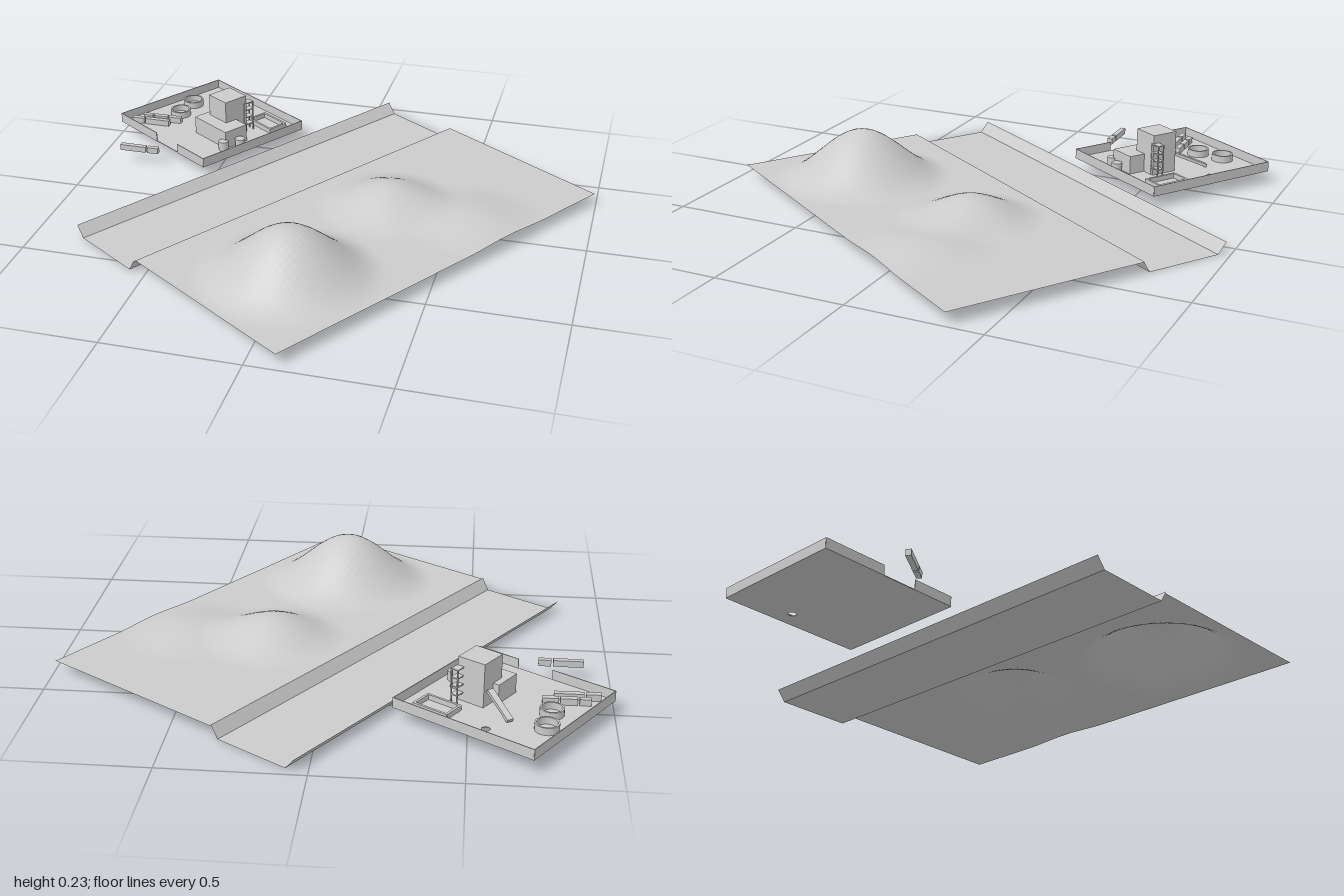
import * as THREE from 'three';

const grey = new THREE.MeshStandardMaterial({ color: 0xcccccc, flatShading: true, side: THREE.DoubleSide });
const ANGLE = -0.586; // the whole site is turned about y
const C = Math.cos(ANGLE), S = Math.sin(ANGLE);

// site plan (x, z) to the turned local frame
const toLocal = (x, z) => [x * C - z * S, x * S + z * C];

function add(parent, name, geometry, x = 0, y = 0, z = 0, turn = 0) {
  const mesh = new THREE.Mesh(geometry, grey);
  mesh.name = name;
  mesh.position.set(x, y, z);
  mesh.rotation.y = turn;
  parent.add(mesh);
  return mesh;
}

// box standing on height y
const box = (parent, name, w, h, d, x, y, z, turn) =>
  add(parent, name, new THREE.BoxGeometry(w, h, d), x, y + h / 2, z, turn);

// open sheet swept along z from a cross-section of [x, y] points
function sheet(points, z0, z1) {
  const pos = [], index = [];
  points.forEach(([x, y], i) => {
    pos.push(x, y, z0, x, y, z1);
    if (i) index.push(2 * i - 2, 2 * i - 1, 2 * i, 2 * i, 2 * i - 1, 2 * i + 1);
  });
  const g = new THREE.BufferGeometry();
  g.setAttribute('position', new THREE.Float32BufferAttribute(pos, 3));
  g.setIndex(index);
  g.computeVertexNormals();
  return g;
}

// rounded hills: plan x, plan z, radius, height
const hills = [[0.01, 0.5, 0.345, 0.187], [0.24, -0.08, 0.28, 0.085], [0.56, -0.05, 0.28, 0.033]]
  .map(([x, z, r, h]) => [...toLocal(x, z), r, h]);

function hillLand() {
  const g = new THREE.PlaneGeometry(0.77, 1.607, 36, 76);
  g.rotateX(-Math.PI / 2).translate(0.242, 0, -0.0465);
  const p = g.attributes.position;
  for (let i = 0; i < p.count; i++) {
    let y = 0.045;
    for (const [x, z, r, h] of hills) {
      const d = Math.hypot(p.getX(i) - x, p.getZ(i) - z) / r;
      if (d < 1) y += h * 0.5 * (1 + Math.cos(Math.PI * d));
    }
    p.setY(i, y);
  }
  g.computeVertexNormals();
  return g;
}

// open tank with thin walls
function tank(r, h) {
  const profile = [[r, 0], [r, h], [r * 0.84, h], [r * 0.84, 0.004], [0, 0.004]];
  return new THREE.LatheGeometry(profile.map(([x, y]) => new THREE.Vector2(x, y)), 24);
}

function createCompound() {
  const yard = new THREE.Group();
  yard.name = 'compound';
  const [cx, cz] = toLocal(-0.6225, -0.55);
  yard.position.set(cx, 0.05, cz);
  const W = 0.56, D = 0.517, H = 0.039, T = 0.003;
  const at = (x, z) => { const [a, b] = toLocal(x, z); return [a - cx, b - cz]; };
  const place = (name, w, h, d, x, z, turn = 0, y = 0) => {
    const [a, b] = at(x, z);
    return box(yard, name, w, h, d, a, y, b, turn);
  };

  // floor with a drain hole
  const floor = new THREE.Shape();
  floor.moveTo(-W / 2, -D / 2).lineTo(W / 2, -D / 2).lineTo(W / 2, D / 2).lineTo(-W / 2, D / 2).closePath();
  const [hx, hz] = at(-0.56, -0.735);
  floor.holes.push(new THREE.Path().absarc(hx, -hz, 0.015, 0, Math.PI * 2, true));
  add(yard, 'floor', new THREE.ExtrudeGeometry(floor, { depth: 0.003, bevelEnabled: false }).rotateX(-Math.PI / 2));

  // perimeter wall with a gate gap at the front
  box(yard, 'backWall', W, H, T, 0, 0, -D / 2);
  for (const s of [-1, 1]) box(yard, 'sideWall', T, H, D, s * W / 2, 0, 0);
  box(yard, 'frontWall', 0.25, H, T, -0.155, 0, D / 2);
  box(yard, 'frontWall', 0.17, H, T, 0.195, 0, D / 2);

  // main building
  place('lowHall', 0.2, 0.075, 0.11, -0.548, -0.455);
  place('tallBlock', 0.108, 0.165, 0.108, -0.535, -0.515);

  // stair tower beside the tall block
  const [sx, sz] = at(-0.463, -0.545);
  for (const i of [-1, 1]) for (const j of [-1, 1])
    box(yard, 'towerPost', 0.004, 0.13, 0.004, sx + i * 0.012, 0, sz + j * 0.022);
  for (let i = 1; i <= 4; i++) box(yard, 'towerDeck', 0.028, 0.004, 0.048, sx, i * 0.032, sz);

  // sloping conveyor into the hall
  const [ax, az] = at(-0.64, -0.69), [bx, bz] = at(-0.57, -0.58);
  const belt = add(yard, 'conveyor', new THREE.BoxGeometry(0.024, 0.012, 0.14), (ax + bx) / 2, 0.04, (az + bz) / 2);
  belt.rotation.order = 'YXZ';
  belt.rotation.set(-0.4, Math.atan2(bx - ax, bz - az), 0);

  // tanks and silos
  for (const [x, z] of [[-0.76, -0.72], [-0.78, -0.613]]) {
    const [a, b] = at(x, z);
    add(yard, 'roundTank', tank(0.042, 0.03), a, 0, b);
  }
  for (const [x, z] of [[-0.502, -0.347], [-0.444, -0.387]]) {
    const [a, b] = at(x, z);
    add(yard, 'silo', new THREE.CylinderGeometry(0.02, 0.02, 0.04, 20), a, 0.02, b);
  }

  // rectangular basin
  const [px, pz] = at(-0.395, -0.61);
  for (const s of [-1, 1]) {
    box(yard, 'basinWall', 0.14, 0.022, 0.009, px, 0, pz + s * 0.04);
    box(yard, 'basinWall', 0.009, 0.022, 0.08, px + s * 0.066, 0, pz);
  }

  // trucks: [start, end] of each body, and z, lined up with the world x axis
  const trucks = [
    [-0.535, [-0.915, -0.875], [-0.868, -0.81], [-0.805, -0.75]],
    [-0.497, [-0.95, -0.9], [-0.893, -0.79]],
    [-0.243, [-0.905, -0.797], [-0.79, -0.745]],
  ];
  for (const [z, ...bodies] of trucks)
    bodies.forEach(([x0, x1]) => place('truckBody', x1 - x0, 0.024, 0.02, (x0 + x1) / 2, z, -ANGLE, 0.004));
  return yard;
}

export function createModel() {
  const model = new THREE.Group();
  const site = new THREE.Group();
  site.name = 'site';
  site.rotation.y = ANGLE;
  model.add(site);

  // channel with sloping banks, then the hilly land beside it
  add(site, 'channel', sheet([[-0.501, 0.041], [-0.467, 0], [-0.17, 0], [-0.143, 0.045]], -0.843, 0.766));
  add(site, 'hillyLand', hillLand());
  site.add(createCompound());
  return model;
}
